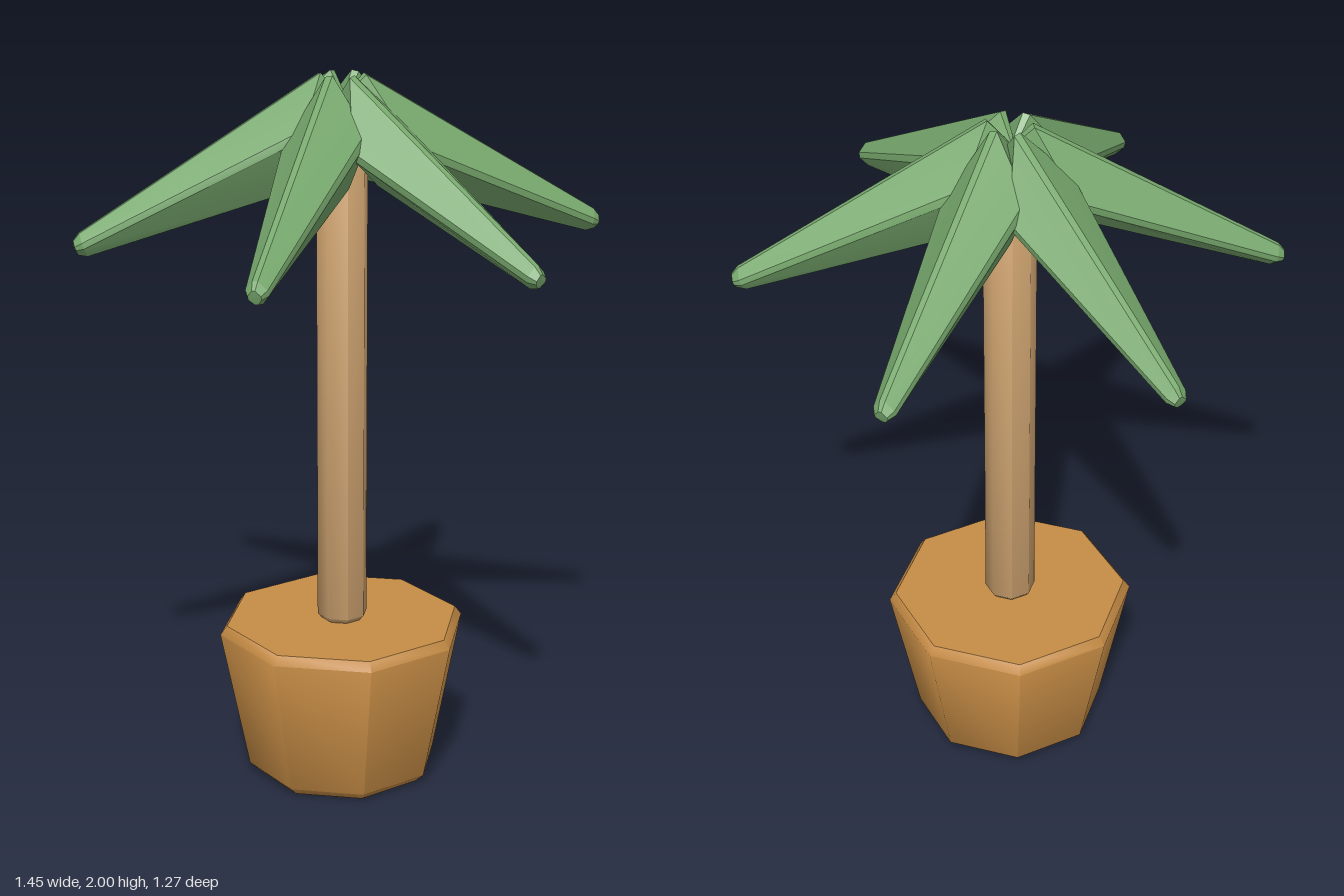
import * as THREE from 'three';
import { toCreasedNormals } from 'three/addons/utils/BufferGeometryUtils.js';

const clay = new THREE.MeshStandardMaterial({ color: 0xc68c45 });
clay.name = 'clay';
const bark = new THREE.MeshStandardMaterial({ color: 0xcda26f });
bark.name = 'bark';
const green = new THREE.MeshStandardMaterial({ color: 0x77a86d });
green.name = 'leafGreen';

// Eight-sided turned solid with soft sides and bevelled rims
function turned(name, profile, material) {
  const points = profile.map(([r, y]) => new THREE.Vector2(r, y));
  const geometry = toCreasedNormals(new THREE.LatheGeometry(points, 8), 0.87);
  const mesh = new THREE.Mesh(geometry, material);
  mesh.name = name;
  return mesh;
}

// Doubles each corner of a four-cornered section to make a bevel
function bevelled(corners, cut) {
  const ring = [];
  corners.forEach((p, i) => {
    ring.push(p.clone().lerp(corners[(i + 3) % 4], cut));
    ring.push(p.clone().lerp(corners[(i + 1) % 4], cut));
  });
  return ring;
}

const centre = (ring) =>
  ring.reduce((sum, p) => sum.add(p), new THREE.Vector3()).divideScalar(ring.length);

// Copy of a ring, shrunk about its centre and moved along the leaf
function shrunk(ring, scale, dx, dy) {
  const c = centre(ring);
  const move = new THREE.Vector3(dx, dy, 0);
  return ring.map((p) => p.clone().sub(c).multiplyScalar(scale).add(c).add(move));
}

// Tapering leaf pointing along +x: top, left, bottom and right corners
function leafGeometry() {
  const v = (x, y, z) => new THREE.Vector3(x, y, z);
  const base = bevelled(
    [v(0.05, 2.014, 0.02), v(0.17, 1.81, 0.122), v(0.1, 1.7, -0.045), v(0.135, 1.86, -0.115)], 0.08);
  const tip = bevelled(
    [v(0.71, 1.612, 0.004), v(0.705, 1.572, 0.036), v(0.685, 1.535, -0.004), v(0.705, 1.576, -0.036)], 0.2);
  const rings = [shrunk(base, 0.5, -0.1, 0.0), base, tip, shrunk(tip, 0.6, 0.02, -0.008)];

  const positions = [];
  const face = (...pts) => pts.forEach((p) => positions.push(p.x, p.y, p.z));
  const n = base.length;
  const inner = centre(rings[0]);
  const outer = centre(rings[3]);
  for (let j = 0; j < n; j++) {
    const k = (j + 1) % n;
    for (let i = 0; i < 3; i++) {
      const a = rings[i], b = rings[i + 1];
      face(a[j], a[k], b[k]);
      face(a[j], b[k], b[j]);
    }
    face(inner, rings[0][k], rings[0][j]);
    face(outer, rings[3][j], rings[3][k]);
  }
  const geometry = new THREE.BufferGeometry();
  geometry.setAttribute('position', new THREE.Float32BufferAttribute(positions, 3));
  return toCreasedNormals(geometry, 0.3);
}

export function createModel() {
  const model = new THREE.Group();
  model.name = 'pottedPalm';

  model.add(turned('pot',
    [[0, 0], [0.245, 0], [0.272, 0.025], [0.352, 0.43], [0.333, 0.455], [0, 0.455]], clay));
  model.add(turned('trunk',
    [[0, 0.45], [0.058, 0.455], [0.071, 0.47], [0.071, 1.78], [0.058, 1.795], [0, 1.795]], bark));

  // Crown of six leaves
  const crown = new THREE.Group();
  crown.name = 'crown';
  const geometry = leafGeometry();
  for (let i = 0; i < 6; i++) {
    const leaf = new THREE.Mesh(geometry, green);
    leaf.name = 'leaf' + (i + 1);
    leaf.rotation.y = (i * Math.PI) / 3;
    crown.add(leaf);
  }
  model.add(crown);
  return model;
}
